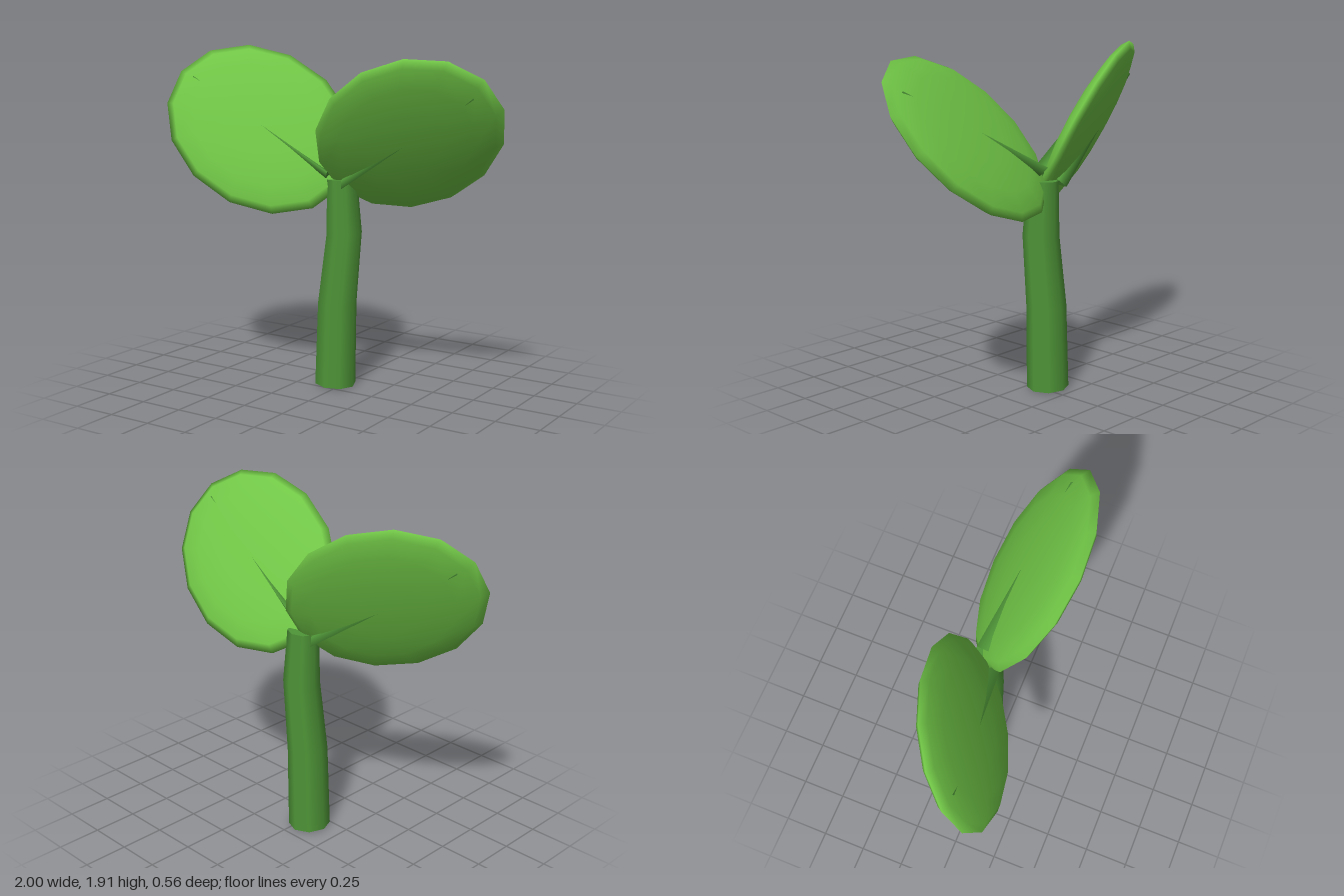
import * as THREE from 'three';

const leafGreen = new THREE.MeshStandardMaterial({ color: 0x70c546, name: 'leafGreen' });
const stemGreen = new THREE.MeshStandardMaterial({ color: 0x4f9638, name: 'stemGreen' });

const vec = (x, y, z) => new THREE.Vector3(x, y, z);

function addMesh(group, geometry, material, name) {
  const mesh = new THREE.Mesh(geometry, material);
  mesh.name = name;
  group.add(mesh);
}

// Lens-shaped leaf spanned by two half-axes, with a tapered midrib through it
function makeLeaf(name, centre, along, across, ribU, ribV) {
  const leaf = new THREE.Group();
  leaf.name = name;
  const normal = vec(0, 0, 0).crossVectors(across, along).normalize();

  const blade = new THREE.SphereGeometry(1, 14, 8);
  blade.applyMatrix4(new THREE.Matrix4()
    .makeBasis(along, normal.clone().multiplyScalar(0.078), across)
    .setPosition(centre));
  addMesh(leaf, blade, leafGreen, 'leafBlade');

  // Midrib: narrow in the leaf plane, deep enough to show on both faces
  const run = along.clone().multiplyScalar(2 * ribU).addScaledVector(across, 2 * ribV);
  const side = vec(0, 0, 0).crossVectors(run, normal).normalize();
  const rib = new THREE.CylinderGeometry(0.46, 1, 1, 6);
  rib.applyMatrix4(new THREE.Matrix4()
    .makeBasis(side.multiplyScalar(0.021), run, normal.clone().multiplyScalar(0.105))
    .setPosition(centre));
  addMesh(leaf, rib, stemGreen, 'midrib');
  return leaf;
}

// Bent stem: each ring is [centre x, y, radius, slope of the ring]
function makeStem() {
  const rings = [
    [-0.048, 0.005, 0.117, -0.04],
    [-0.035, 0.48, 0.111, -0.04],
    [0.01, 0.88, 0.101, 0.08],
    [-0.004, 1.185, 0.085, 0.05],
  ];
  const geometry = new THREE.CylinderGeometry(1, 1, 3, 8, 3);
  const p = geometry.attributes.position;
  for (let i = 0; i < p.count; i++) {
    const [cx, y, r, slope] = rings[Math.round(p.getY(i) + 1.5)];
    const x = p.getX(i) * r;
    p.setXYZ(i, cx + x, y + x * slope, p.getZ(i) * r - 0.095);
  }
  return geometry;
}

export function createModel() {
  const model = new THREE.Group();
  model.name = 'sprout';
  addMesh(model, makeStem(), stemGreen, 'stem');
  model.add(makeLeaf('leftLeaf', vec(0.46, 1.45, 0),
    vec(0.54, 0.165, -0.02), vec(0, 0.39, 0.277), 0.78, 0.3));
  model.add(makeLeaf('rightLeaf', vec(-0.49, 1.45, 0),
    vec(-0.51, 0.13, 0.2), vec(-0.07, 0.438, -0.196), 0.75, 0.38));
  return model;
}
